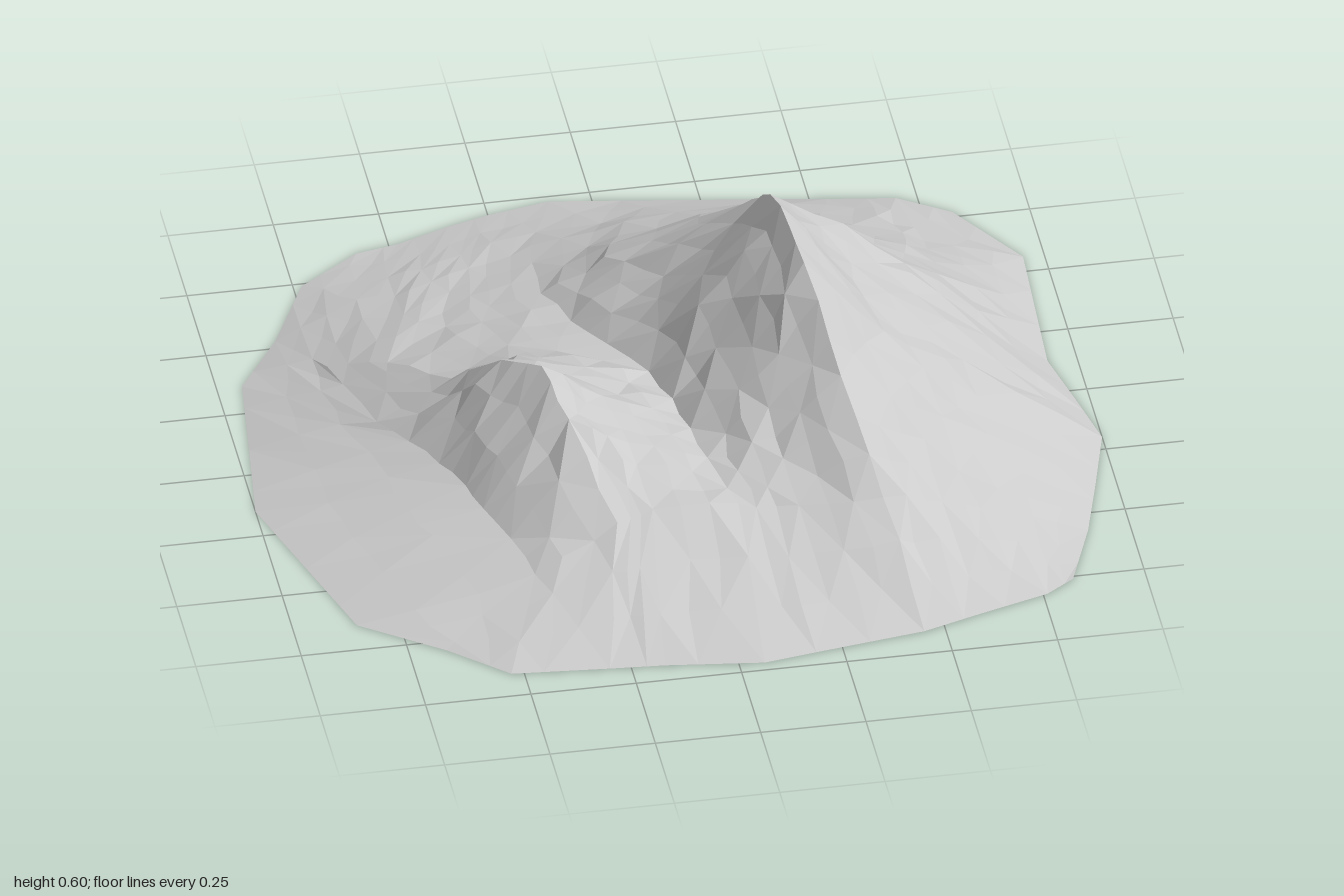
import * as THREE from 'three';

// Feature lines of the terrain, each running from the back rim to the front rim
const leftRim = [[-.58, 0, -.85], [-.73, 0, -.74], [-.83, 0, -.53], [-.94, 0, -.36], [-.97, 0, -.1], [-1, 0, .15], [-.925, 0, .4], [-.85, 0, .65], [-.66, 0, .79]];
const leftFoot = [[-.48, 0, -.87], [-.62, .045, -.6], [-.75, .065, -.32], [-.68, .1, -.02], [-.59, .115, .14], [-.53, .115, .29], [-.48, .1, .43], [-.42, .085, .64], [-.53, 0, .91]];
const smallRidge = [[-.35, 0, -.92], [-.5, .07, -.58], [-.62, .13, -.22], [-.5, .2, -.02], [-.41, .33, .1], [-.33, .36, .19], [-.29, .3, .34], [-.22, .16, .58], [-.3, 0, .93]];
const smallFlank = [[-.25, 0, -.95], [-.35, .06, -.66], [-.39, .11, -.42], [-.34, .18, -.16], [-.27, .26, .04], [-.19, .26, .2], [-.15, .23, .36], [-.13, .17, .55], [-.17, 0, .94]];
const valley = [[-.1, 0, -.98], [-.19, .06, -.72], [-.22, .13, -.43], [-.15, .17, -.19], [-.04, .2, .03], [0, .19, .2], [.03, .18, .38], [.07, .165, .55], [.06, 0, .97]];
const mainRib = [[.15, 0, -.94], [.03, .1, -.72], [-.07, .215, -.43], [.04, .29, -.22], [.14, .43, 0], [.17, .36, .2], [.19, .24, .4], [.21, .16, .58], [.25, 0, .94]];
const mainRidge = [[.42, 0, -.895], [.3, .14, -.66], [.26, .33, -.42], [.27, .51, -.2], [.28, .6, -.02], [.3, .55, .16], [.35, .37, .37], [.41, .19, .62], [.45, 0, .91]];
const rightShoulder = [[.6, 0, -.865], [.56, .1, -.62], [.5, .24, -.42], [.46, .39, -.21], [.45, .38, 0], [.49, .34, .17], [.53, .25, .36], [.55, .14, .59], [.6, 0, .86]];
const rightFoot = [[.7, 0, -.85], [.72, .06, -.58], [.71, .14, -.38], [.68, .22, -.18], [.67, .23, 0], [.69, .2, .18], [.7, .15, .36], [.7, .08, .58], [.76, 0, .81]];
const rightRim = [[.82, 0, -.77], [.95, 0, -.56], [.94, 0, -.35], [.93, 0, -.13], [.965, 0, .03], [1, 0, .2], [.95, 0, .39], [.9, 0, .57], [.83, 0, .76]];

const LINES = [leftRim, leftFoot, smallRidge, smallFlank, valley, mainRib, mainRidge, rightShoulder, rightFoot, rightRim];
const ACROSS = 3; // facets between neighbouring lines
const ALONG = 3;  // facets between neighbouring points of a line

function seededRandom(seed) {
  return () => {
    seed = (seed * 16807) % 2147483647;
    return seed / 2147483647 - 0.5;
  };
}

// Point on a feature line, straight between its points
function pointOnLine(line, row) {
  const k = Math.min(Math.floor(row / ALONG), line.length - 2);
  return new THREE.Vector3(...line[k]).lerp(new THREE.Vector3(...line[k + 1]), row / ALONG - k);
}

function createTerrain() {
  const cols = (LINES.length - 1) * ACROSS;
  const rows = (leftRim.length - 1) * ALONG;
  const rand = seededRandom(4711);
  const positions = [];
  const indices = [];

  // Loft between the lines, roughening the slopes more than the crests
  for (let j = 0; j <= rows; j++) {
    for (let i = 0; i <= cols; i++) {
      const k = Math.min(Math.floor(i / ACROSS), LINES.length - 2);
      const p = pointOnLine(LINES[k], j).lerp(pointOnLine(LINES[k + 1], j), i / ACROSS - k);
      const onRim = i === 0 || j === 0 || i === cols || j === rows;
      if (!onRim) {
        const rough = i % ACROSS === 0 ? 0.01 : 0.02;
        p.x += rand() * rough;
        p.z += rand() * rough;
        p.y += rand() * rough * Math.min(1, p.y * 5);
      }
      positions.push(p.x, p.y, p.z);
    }
  }

  // Triangles, with the diagonal alternating for an irregular rock pattern
  for (let j = 0; j < rows; j++) {
    for (let i = 0; i < cols; i++) {
      const a = j * (cols + 1) + i, b = a + cols + 1, c = a + 1, d = b + 1;
      if ((i + j) % 2) indices.push(a, b, c, c, b, d);
      else indices.push(a, b, d, a, d, c);
    }
  }

  const geometry = new THREE.BufferGeometry();
  geometry.setAttribute('position', new THREE.Float32BufferAttribute(positions, 3));
  geometry.setIndex(indices);
  geometry.computeVertexNormals();
  return geometry;
}

export function createModel() {
  const group = new THREE.Group();
  group.name = 'mountain';
  const material = new THREE.MeshStandardMaterial({ color: 0xcccccc, flatShading: true, side: THREE.DoubleSide });

  // Open shell with a tall peak, a lower peak and the valley between them
  const terrain = new THREE.Mesh(createTerrain(), material);
  terrain.name = 'twinPeakTerrain';
  group.add(terrain);
  return group;
}
